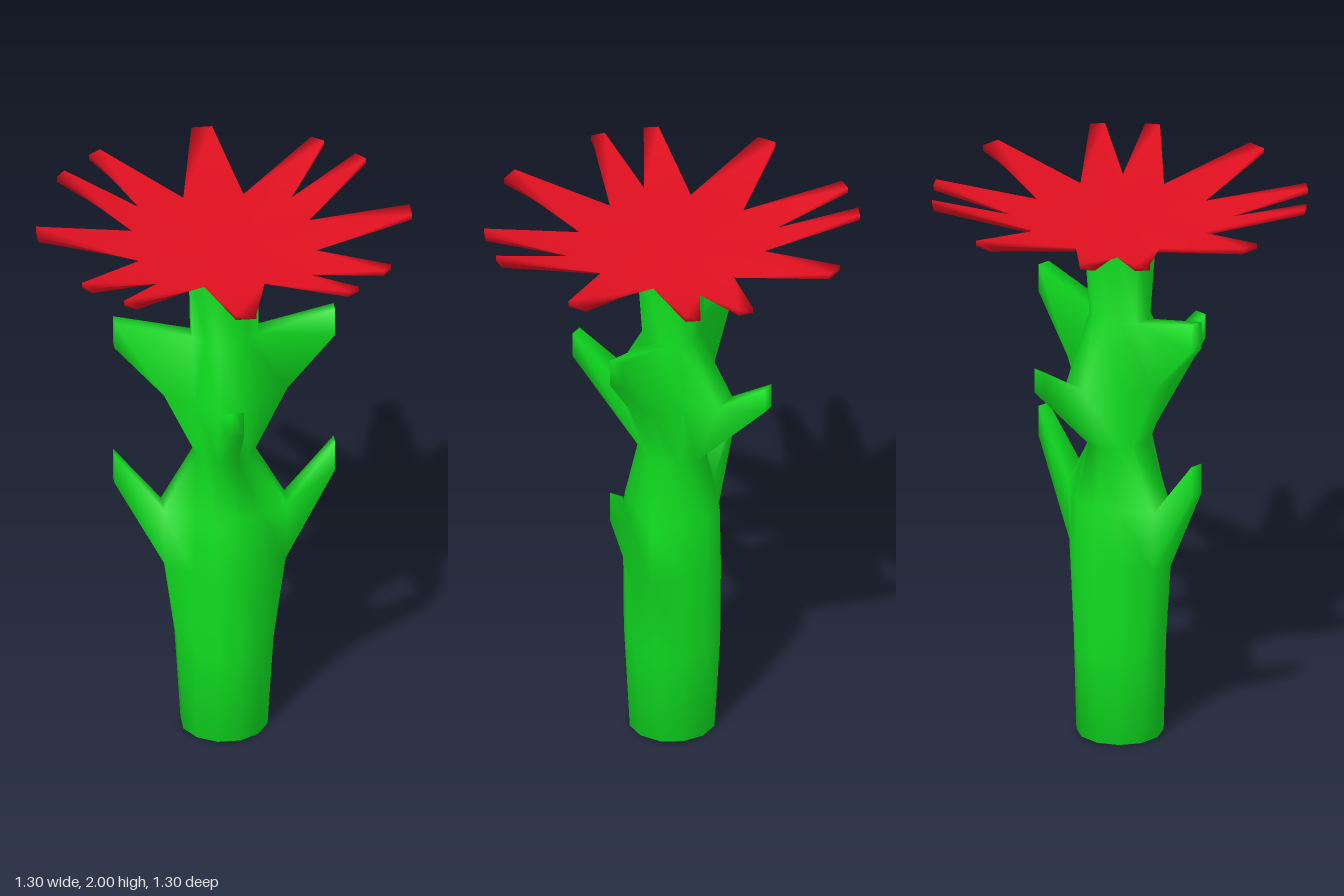
import * as THREE from 'three';

const SIDES = 12;

// Twelve-sided ring: four narrow faces on the axes, two slanted faces in each corner
function ring(y, rx, rz, w, d) {
  return [
    [rx, w], [d, d], [w, rz], [-w, rz], [-d, d], [-rx, w],
    [-rx, -w], [-d, -d], [-w, -rz], [w, -rz], [d, -d], [rx, -w],
  ].map(([x, z]) => new THREE.Vector3(x, y, z));
}

// Collects shared vertices and faces, so that normals come out smooth
function meshBuilder() {
  const index = [], points = [];
  const id = (p) => {
    let i = points.indexOf(p);
    if (i < 0) i = points.push(p) - 1;
    return i;
  };
  const tri = (a, b, c) => index.push(id(a), id(b), id(c));
  const quad = (a, b, c, d) => { tri(a, b, c); tri(a, c, d); };
  return {
    tri, quad,
    // Pull a face out to a smaller end face
    extrude(face, tip) {
      face.forEach((p, i) => {
        const j = (i + 1) % 4;
        quad(p, face[j], tip[j], tip[i]);
      });
      quad(...tip);
    },
    build(name, color) {
      const geo = new THREE.BufferGeometry().setFromPoints(points);
      geo.setIndex(index);
      geo.computeVertexNormals();
      const mesh = new THREE.Mesh(geo, new THREE.MeshStandardMaterial({ color }));
      mesh.name = name;
      return mesh;
    },
  };
}

// Four corners of an end face at a distance r along an angle, wound like the side faces
function endFace(angle, r, low, high, half) {
  const c = Math.cos(angle), s = Math.sin(angle);
  const at = (y, t) => new THREE.Vector3(c * r - s * t, y, s * r + c * t);
  return [at(low, -half), at(high, -half), at(high, half), at(low, half)];
}

const sideFace = (lower, upper, k) => {
  const n = (k + 1) % SIDES;
  return [lower[k], upper[k], upper[n], lower[n]];
};

function makeStem() {
  const b = meshBuilder();
  // height, x radius, z radius, half width of axis faces, corner offset
  const rings = [
    [0, 0.147, 0.147, 0.04, 0.107],
    [0.35, 0.168, 0.168, 0.043, 0.113],
    [0.66, 0.21, 0.171, 0.043, 0.12],
    [0.88, 0.215, 0.165, 0.045, 0.115],
    [1.09, 0.1, 0.118, 0.035, 0.075],
    [1.34, 0.215, 0.215, 0.045, 0.115],
    [1.56, 0.115, 0.095, 0.032, 0.075],
    [1.83, 0.12, 0.12, 0.032, 0.088],
  ].map((r) => ring(...r));
  // Leaves grow from axis faces: "band:face" -> [angle, low, high]
  const leaves = {
    '2:11': [0, 0.99, 1.1], '2:5': [Math.PI, 0.99, 1.1],
    '4:2': [Math.PI / 2, 1.36, 1.45], '4:8': [-Math.PI / 2, 1.36, 1.45],
    '5:11': [0, 1.53, 1.63], '5:5': [Math.PI, 1.53, 1.63],
  };
  const foot = new THREE.Vector3(0, 0, 0);
  for (let k = 0; k < SIDES; k++) {
    b.tri(foot, rings[0][k], rings[0][(k + 1) % SIDES]);
    for (let i = 0; i < rings.length - 1; i++) {
      const face = sideFace(rings[i], rings[i + 1], k);
      const leaf = leaves[`${i}:${k}`];
      if (leaf) b.extrude(face, endFace(leaf[0], 0.385, leaf[1], leaf[2], 0.024));
      else b.quad(...face);
    }
  }
  return b.build('stemWithLeaves', 0x10dd20);
}

function makeFlower() {
  const b = meshBuilder();
  const base = ring(1.83, 0.12, 0.12, 0.032, 0.088);
  const rim = ring(1.92, 0.31, 0.31, 0.105, 0.268);
  const centre = new THREE.Vector3(0, 1.92, 0);
  for (let k = 0; k < SIDES; k++) {
    b.tri(centre, rim[(k + 1) % SIDES], rim[k]);
    // Petals: one on each axis, two in each corner
    const turn = [36.6, 53.4, 90][k % 3] + 90 * Math.floor(k / 3);
    const angle = THREE.MathUtils.degToRad(turn);
    b.extrude(sideFace(base, rim, k), endFace(angle, 0.652, 1.98, 2, k % 3 === 2 ? 0.036 : 0.026));
  }
  return b.build('flowerHead', 0xe01020);
}

export function createModel() {
  const group = new THREE.Group();
  group.name = 'flower';
  group.add(makeStem(), makeFlower());
  return group;
}
